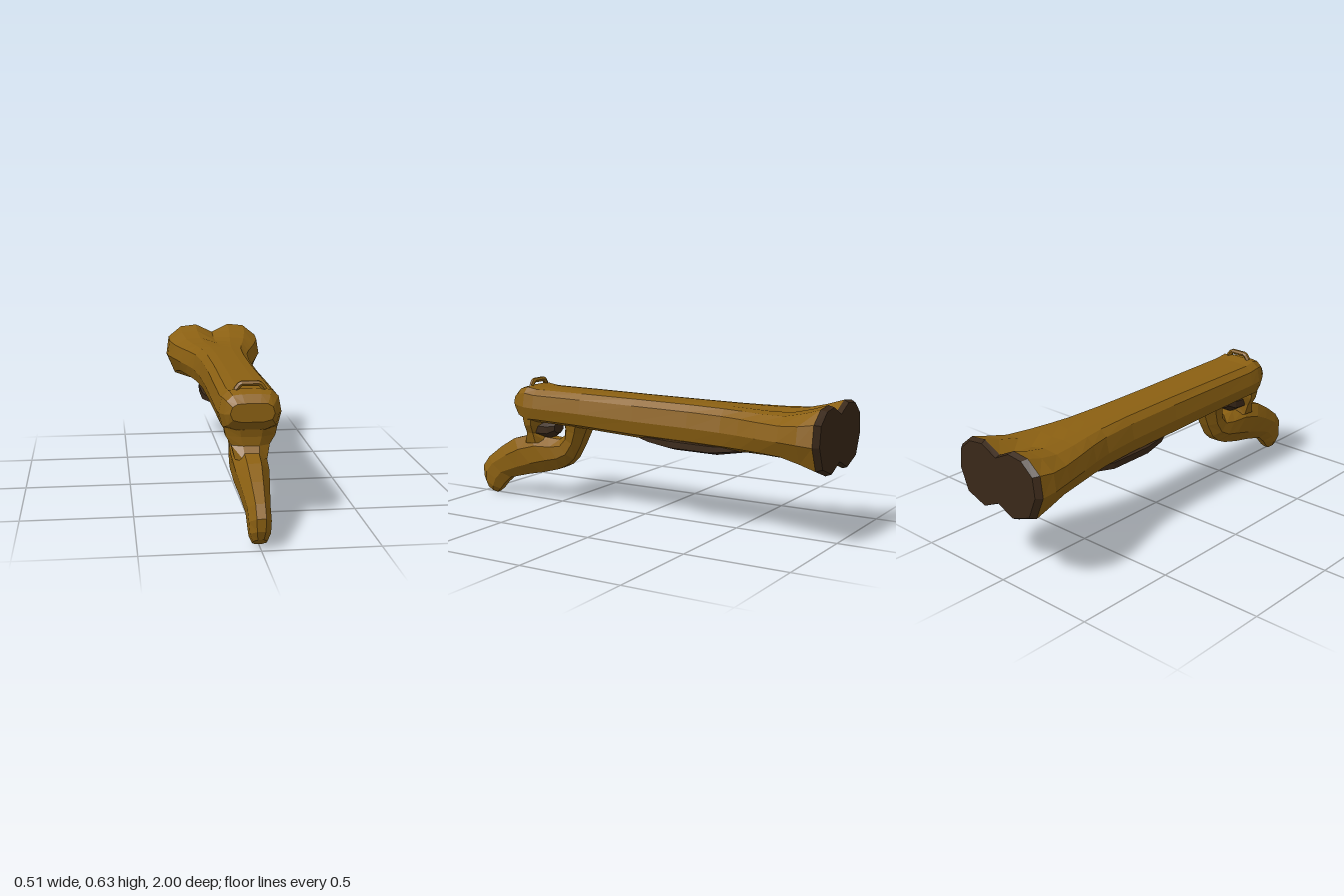
import * as THREE from 'three';

const brown = new THREE.MeshStandardMaterial({ color: 0x8b6012, flatShading: true });
const dark = new THREE.MeshStandardMaterial({ color: 0x3a2818, flatShading: true });

// Skin a list of closed rings; both ends are closed with a fan unless switched off
function loft(name, rings, material, capStart = true, capEnd = true) {
  const n = rings[0].length, pos = [], idx = [];
  rings.forEach(r => r.forEach(p => pos.push(...p)));
  for (let i = 0; i < rings.length - 1; i++) {
    for (let j = 0; j < n; j++) {
      const k = (j + 1) % n, a = i * n, b = a + n;
      idx.push(a + j, b + j, b + k, a + j, b + k, a + k);
    }
  }
  const cap = (ring, base, flip) => {
    const c = pos.length / 3;
    pos.push(...[0, 1, 2].map(q => ring.reduce((s, p) => s + p[q], 0) / n));
    for (let j = 0; j < n; j++) {
      const k = (j + 1) % n;
      if (flip) idx.push(c, base + k, base + j);
      else idx.push(c, base + j, base + k);
    }
  };
  if (capStart) cap(rings[0], 0, false);
  if (capEnd) cap(rings[rings.length - 1], (rings.length - 1) * n, true);
  let g = new THREE.BufferGeometry();
  g.setAttribute('position', new THREE.Float32BufferAttribute(pos, 3));
  g.setIndex(idx);
  g = g.toNonIndexed();
  g.computeVertexNormals();
  const mesh = new THREE.Mesh(g, material);
  mesh.name = name;
  return mesh;
}

// Half outlines from top centre to bottom centre: plain shaft and two-lobed end
const PLAIN = [[0, 1], [.35, 1], [.68, .97], [.9, .82], [1, .45], [.88, .12], [.5, 0], [0, 0]];
const LOBED = [[0, .86], [.35, 1], [.68, .97], [.95, .79], [1, .48], [.82, .13], [.38, 0], [0, .14]];

function shaftRing([z, hw, y0, y1, k]) {
  const half = PLAIN.map(([x, y], i) => [
    THREE.MathUtils.lerp(x, LOBED[i][0], k) * hw,
    y0 + (y1 - y0) * THREE.MathUtils.lerp(y, LOBED[i][1], k), z]);
  const right = half.slice().reverse();                     // bottom to top on +x
  const left = half.slice(1, -1).map(([x, y, w]) => [-x, y, w]);
  return [...right, ...left];
}

// Rounded eight-sided ring between an upper and a lower point of a side profile
function profileRing([uz, uy, lz, ly, hw]) {
  return Array.from({ length: 8 }, (_, i) => {
    const a = (i + .5) * Math.PI / 4, s = Math.sin(a) / Math.cos(Math.PI / 8);
    return [hw * Math.cos(a) / Math.cos(Math.PI / 8),
      (uy + ly) / 2 + s * (uy - ly) / 2, (uz + lz) / 2 + s * (uz - lz) / 2];
  });
}

export function createModel() {
  const model = new THREE.Group();
  model.name = 'boneGun';

  // Shaft: z, half width, bottom, top, lobe amount
  const shaft = [
    [.725, .095, .475, .555, 0], [.69, .118, .435, .588, 0], [.64, .135, .415, .602, 0],
    [.58, .138, .418, .593, 0], [.3, .135, .41, .592, 0], [0, .13, .395, .59, 0],
    [-.3, .135, .39, .588, 0], [-.48, .15, .388, .586, 0], [-.58, .172, .388, .585, .1],
    [-.68, .2, .388, .584, .25], [-.8, .232, .383, .588, .6], [-.9, .256, .355, .612, 1],
    [-.975, .257, .325, .636, 1],
  ].map(shaftRing);
  model.add(loft('shaft', shaft, brown, true, false));

  // Dark face of the lobed end, slightly domed
  const face = [[-.975, .257, .325, .636, 1], [-1, .235, .335, .627, 1]].map(shaftRing);
  model.add(loft('endFace', face, dark, false, true));

  // Dark swelling beneath the shaft
  const belly = [
    [.03, .41, .03, .393, .05], [-.08, .425, -.08, .373, .105], [-.2, .43, -.2, .355, .127],
    [-.42, .425, -.42, .353, .125], [-.52, .42, -.52, .37, .1], [-.62, .41, -.62, .386, .04],
  ].map(profileRing);
  model.add(loft('belly', belly, dark));

  // Grip running from the tip, back and up into the shaft
  const grip = [
    [.98, .045, .915, .004, .03], [.998, .085, .89, .025, .043], [1, .14, .86, .06, .047],
    [.96, .192, .82, .095, .048], [.87, .257, .7, .128, .06], [.78, .31, .6, .15, .072],
    [.67, .34, .5, .177, .076], [.56, .335, .45, .2, .073], [.49, .332, .405, .24, .068],
    [.46, .355, .365, .31, .066], [.453, .395, .335, .375, .075], [.46, .425, .31, .425, .085],
  ].map(profileRing);
  model.add(loft('grip', grip, brown));

  // Neck joining grip and shaft
  const neck = [
    [.575, .44, .69, .44, .115], [.585, .405, .68, .4, .108],
    [.595, .36, .68, .36, .083], [.57, .31, .72, .3, .07],
  ].map(profileRing);
  model.add(loft('neck', neck, brown));

  // Dark knob behind the neck
  const knob = [
    [.61, .42, .61, .335, .07], [.55, .42, .55, .335, .06], [.515, .415, .515, .36, .04],
  ].map(profileRing);
  model.add(loft('knob', knob, dark));

  // Low sight bar, bent down at both ends
  const path = new THREE.CurvePath();
  const pts = [[-.062, .598], [-.042, .624], [.042, .624], [.062, .598]]
    .map(([x, y]) => new THREE.Vector3(x, y, .638));
  for (let i = 0; i < 3; i++) path.add(new THREE.LineCurve3(pts[i], pts[i + 1]));
  const sight = new THREE.Mesh(new THREE.TubeGeometry(path, 16, .0125, 6), brown);
  sight.name = 'sight';
  model.add(sight);

  return model;
}
